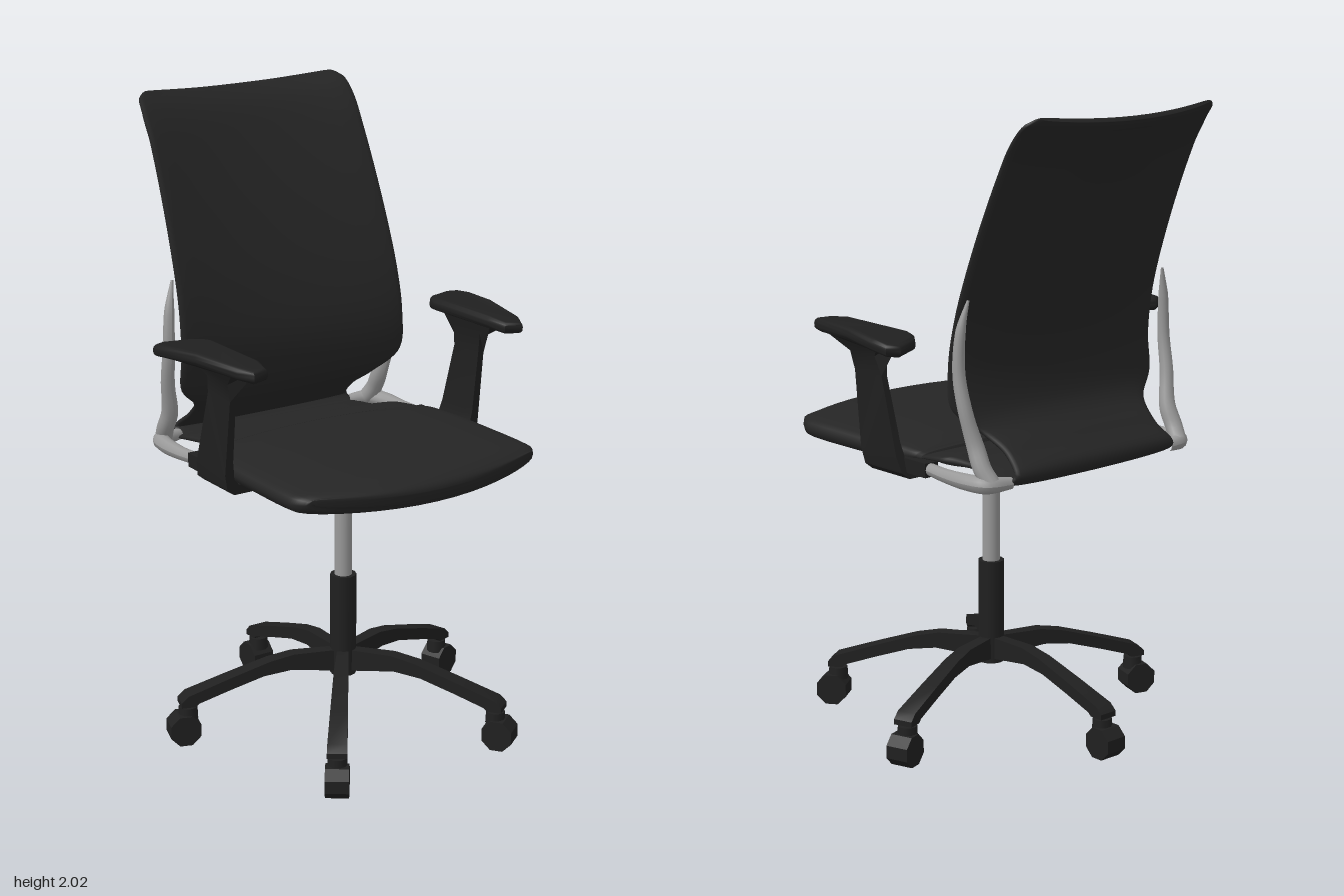
import * as THREE from 'three';
import { toCreasedNormals } from 'three/addons/utils/BufferGeometryUtils.js';

const fabric = new THREE.MeshStandardMaterial({ color: 0x252525 });
fabric.name = 'charcoal fabric';
const plastic = new THREE.MeshStandardMaterial({ color: 0x202020 });
plastic.name = 'black plastic';
const metal = new THREE.MeshStandardMaterial({ color: 0x999999 });
metal.name = 'grey metal';

const V = (x, y, z) => new THREE.Vector3(x, y, z);

function part(name, geometry, material, parent) {
  const mesh = new THREE.Mesh(geometry, material);
  mesh.name = name;
  parent.add(mesh);
  return mesh;
}

// Upholstered slab swept along a centre line in the YZ plane.
// Station: half width, y, z, half thickness, edge lift along normal, edge shift along path
function slab(stations, rows, power) {
  const segs = 40;
  const path = new THREE.CatmullRomCurve3(stations.map(s => V(s[0], s[1], s[2])));
  const extra = new THREE.CatmullRomCurve3(stations.map(s => V(s[3], s[4], s[5])));
  const pos = [], index = [];
  for (let i = 0; i <= rows; i++) {
    const t = i / rows, c = path.getPoint(t), e = extra.getPoint(t);
    const d = path.getPoint(Math.min(1, t + 0.004)).sub(path.getPoint(Math.max(0, t - 0.004)));
    const len = Math.hypot(d.y, d.z), ty = d.y / len, tz = d.z / len;
    for (let j = 0; j < segs; j++) {
      const a = j / segs * Math.PI * 2, u = Math.cos(a), s = Math.sin(a);
      const n = Math.sign(s) * Math.abs(s) ** power * e.x + e.y * u * u;
      const along = e.z * u * u;
      pos.push(c.x * u, c.y + tz * n + ty * along, c.z - ty * n + tz * along);
      if (i < rows) {
        const k = i * segs + j, m = i * segs + (j + 1) % segs;
        index.push(k, m, k + segs, m, m + segs, k + segs);
      }
    }
  }
  // Close both ends by bridging the upper and lower halves of the ring
  const last = rows * segs;
  for (let j = 0; j < segs / 2; j++) {
    const a = j, b = j + 1, c = (segs - j) % segs, d = segs - j - 1;
    index.push(a, d, b, a, c, d);
    index.push(last + a, last + b, last + d, last + a, last + d, last + c);
  }
  const g = new THREE.BufferGeometry();
  g.setAttribute('position', new THREE.Float32BufferAttribute(pos, 3));
  g.setIndex(index);
  g.computeVertexNormals();
  return g;
}

// Round bar whose radius follows a list of values
function taperedTube(points, radii) {
  const n = 32, sides = 12, curve = new THREE.CatmullRomCurve3(points);
  const g = new THREE.TubeGeometry(curve, n, 1, sides);
  const p = g.attributes.position, v = V(0, 0, 0);
  for (let i = 0; i <= n; i++) {
    const c = curve.getPointAt(i / n), f = i / n * (radii.length - 1);
    const k = Math.min(Math.floor(f), radii.length - 2);
    const r = THREE.MathUtils.lerp(radii[k], radii[k + 1], f - k);
    for (let j = 0; j <= sides; j++) {
      const q = i * (sides + 1) + j;
      v.fromBufferAttribute(p, q).sub(c).multiplyScalar(r).add(c);
      p.setXYZ(q, v.x, v.y, v.z);
    }
  }
  g.computeVertexNormals();
  return g;
}

const shapeOf = pts => new THREE.Shape(pts.map(p => new THREE.Vector2(p[0], p[1])));

// Move every vertex by a rule, then rebuild normals with sharp creases
function reshape(g, rule, crease = 0.6) {
  const p = g.attributes.position, v = V(0, 0, 0);
  for (let i = 0; i < p.count; i++) {
    rule(v.fromBufferAttribute(p, i));
    p.setXYZ(i, v.x, v.y, v.z);
  }
  g.computeVertexNormals();
  return toCreasedNormals(g, crease);
}

function buildBase() {
  const base = new THREE.Group();
  base.name = 'starBase';
  base.position.z = 0.062;
  part('gasLift', new THREE.CylinderGeometry(0.028, 0.028, 0.4, 20), metal, base).position.y = 0.68;
  const housing = new THREE.CylinderGeometry(0.042, 0.042, 0.34, 12);
  part('columnHousing', housing, plastic, base).position.y = 0.35;

  const legShape = shapeOf([[0, 0.19], [0.18, 0.215], [0.27, 0.205], [0.38, 0.172], [0.485, 0.138], [0.495, 0.128],
    [0.542, 0.128], [0.542, 0.145], [0.52, 0.166], [0.38, 0.212], [0.25, 0.252], [0.17, 0.267], [0, 0.265]]);
  const legGeo = reshape(new THREE.ExtrudeGeometry(legShape, { depth: 1, bevelEnabled: false }), v => {
    v.z = (v.z - 0.5) * (0.036 + 0.05 * v.x);
  });
  const stemGeo = new THREE.CylinderGeometry(0.03, 0.032, 0.04, 10);
  const wheelGeo = new THREE.CylinderGeometry(0.053, 0.053, 0.074, 8);
  wheelGeo.rotateY(Math.PI / 8).rotateX(Math.PI / 2);
  const wheelFlat = toCreasedNormals(wheelGeo, 0.3);
  for (let i = 0; i < 5; i++) {
    const arm = new THREE.Group();
    arm.name = 'baseArm';
    arm.rotation.y = Math.PI / 2 + i * Math.PI * 2 / 5;
    part('baseLeg', legGeo, plastic, arm);
    part('casterStem', stemGeo, plastic, arm).position.set(0.515, 0.102, 0);
    part('casterWheel', wheelFlat, plastic, arm).position.set(0.53, 0.049, 0);
    base.add(arm);
  }
  return base;
}

// One side: arm post, pad, bracket and metal back support (built at +x)
function buildSide() {
  const side = new THREE.Group();
  const postShape = shapeOf([[0.375, 0.89], [0.44, 0.89], [0.465, 0.91], [0.476, 0.96], [0.473, 1.2], [0.485, 1.26],
    [0.52, 1.315], [0.43, 1.315], [0.442, 1.27], [0.452, 1.2], [0.45, 1.0], [0.442, 0.945], [0.425, 0.922], [0.375, 0.915]]);
  const post = reshape(new THREE.ExtrudeGeometry(postShape, { depth: 1, bevelEnabled: false }), v => {
    const k = (v.y - 0.89) / 0.38, flare = Math.max(0, v.y - 1.262) * 1.4;
    const back = -0.06 + 0.11 * k - flare, front = 0.12 + 0.045 * k + flare;
    v.z = THREE.MathUtils.lerp(back, front, v.z);
  });
  part('armPost', post, plastic, side);

  // Pad outline as (x, -z), laid flat
  const outline = [[0.43, 0.03], [0.435, -0.24], [0.45, -0.3], [0.485, -0.31], [0.505, -0.27], [0.54, -0.09],
    [0.56, 0.05], [0.56, 0.108], [0.535, 0.122], [0.46, 0.09], [0.437, 0.06]];
  const padGeo = new THREE.ExtrudeGeometry(shapeOf(outline),
    { depth: 0.008, bevelThickness: 0.016, bevelSize: 0.016, bevelSegments: 4 });
  padGeo.rotateX(-Math.PI / 2).translate(0, 1.326, 0);
  part('armPad', reshape(padGeo, v => {
    v.y -= 0.28 * (v.z - 0.13) ** 2;
  }, 0.9), plastic, side);

  const bracket = part('armBracket', new THREE.BoxGeometry(0.05, 0.045, 0.24), plastic, side);
  bracket.position.set(0.422, 0.932, -0.02);

  part('backUpright', taperedTube([V(0.405, 1.47, -0.29), V(0.424, 1.38, -0.278), V(0.43, 1.25, -0.276),
    V(0.424, 1.14, -0.297), V(0.405, 1.03, -0.322), V(0.405, 0.97, -0.352), V(0.395, 0.93, -0.38)],
  [0.004, 0.016, 0.019, 0.021, 0.023, 0.028, 0.028]), metal, side);
  part('backBracket', taperedTube([V(0.425, 0.935, -0.12), V(0.428, 0.928, -0.22), V(0.424, 0.927, -0.32),
    V(0.405, 0.927, -0.375), V(0.33, 0.925, -0.395)], [0.019, 0.021, 0.025, 0.028, 0.018]), metal, side);
  return side;
}

export function createModel() {
  const chair = new THREE.Group();
  chair.name = 'officeChair';
  chair.add(buildBase());

  // Seat cushion, from rear to front
  part('seatCushion', slab([
    [0.405, 0.972, -0.12, 0.014, 0, 0.03],
    [0.425, 0.966, -0.10, 0.026, 0, 0.03],
    [0.435, 0.958, -0.02, 0.045, 0, 0.01],
    [0.445, 0.956, 0.12, 0.052, 0, 0],
    [0.448, 0.956, 0.30, 0.054, 0, -0.01],
    [0.447, 0.956, 0.44, 0.054, 0, -0.04],
    [0.44, 0.954, 0.53, 0.049, 0, -0.075],
    [0.42, 0.95, 0.572, 0.034, 0, -0.085],
    [0.40, 0.947, 0.585, 0.014, 0, -0.085],
  ], 48, 0.55), fabric, chair);

  // Backrest shell: down the back, around the tail and up to the seat
  part('backrestShell', slab([
    [0.33, 1.996, -0.576, 0.006, 0.035, 0.02],
    [0.378, 1.985, -0.562, 0.014, 0.045, 0.02],
    [0.393, 1.94, -0.522, 0.018, 0.05, 0.015],
    [0.396, 1.84, -0.467, 0.02, 0.055, 0],
    [0.405, 1.62, -0.365, 0.02, 0.05, 0],
    [0.414, 1.4, -0.284, 0.02, 0.045, 0],
    [0.42, 1.25, -0.25, 0.02, 0.035, 0],
    [0.418, 1.14, -0.255, 0.02, 0.03, 0],
    [0.345, 1.07, -0.285, 0.02, 0.015, 0],
    [0.315, 1.0, -0.355, 0.02, 0, 0],
    [0.335, 0.945, -0.415, 0.019, 0, 0],
    [0.345, 0.923, -0.39, 0.018, 0, 0],
    [0.34, 0.93, -0.32, 0.018, 0, 0],
    [0.345, 0.944, -0.23, 0.018, 0, 0],
    [0.40, 0.958, -0.15, 0.018, 0, 0],
    [0.42, 0.96, -0.09, 0.012, 0, 0],
  ], 110, 0.6), fabric, chair);

  for (const s of [1, -1]) {
    const side = buildSide();
    side.name = s > 0 ? 'leftArmAssembly' : 'rightArmAssembly';
    side.scale.x = s;
    chair.add(side);
  }
  return chair;
}
